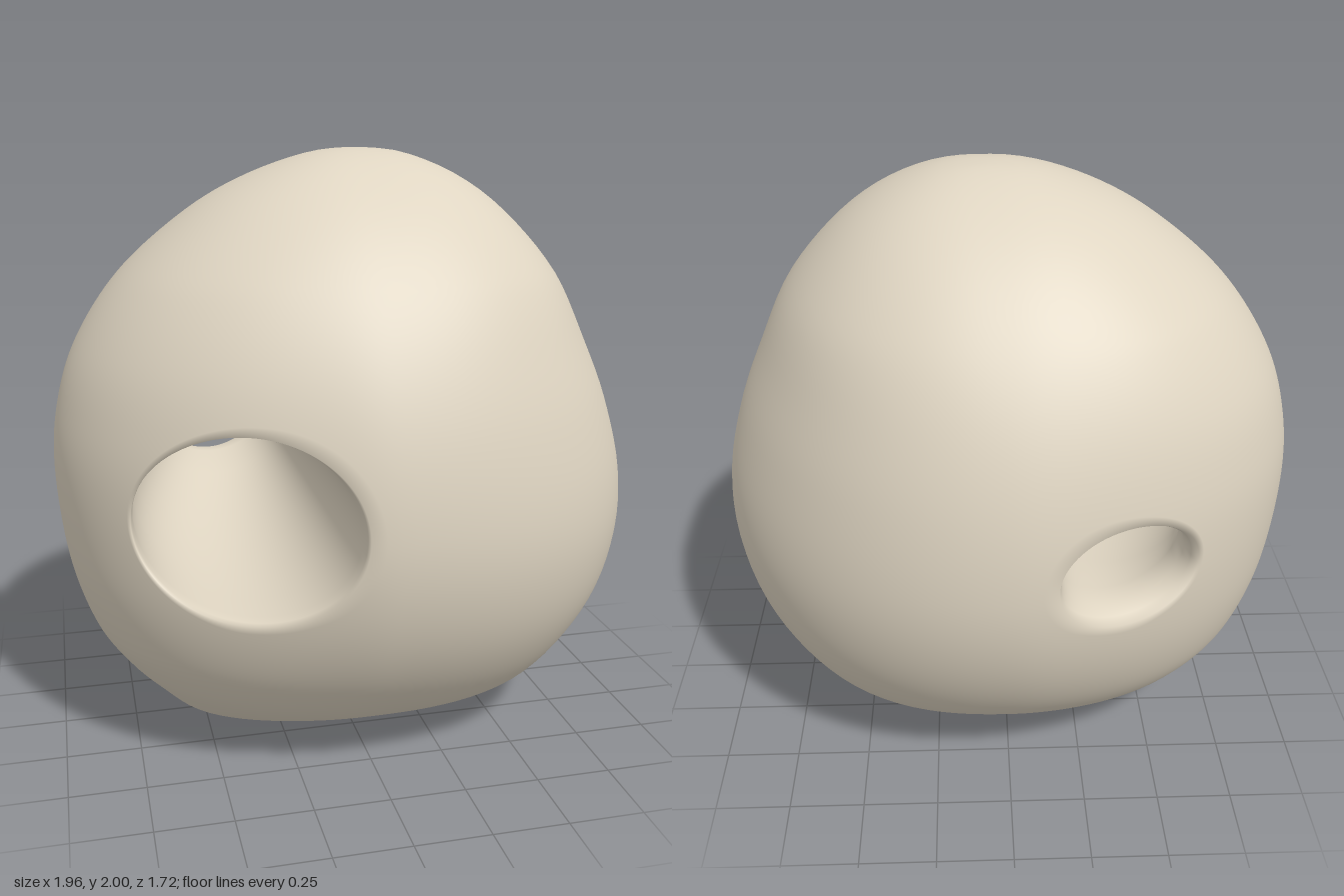
import * as THREE from 'three';

// Front outline, from the top centre down each side to the flat base
const LEFT = [[0.06, 2], [-0.1, 1.982], [-0.32, 1.905], [-0.52, 1.79], [-0.74, 1.6], [-0.89, 1.38], [-0.96, 1.17],
  [-0.98, 0.95], [-0.95, 0.65], [-0.88, 0.42], [-0.79, 0.28], [-0.7, 0.18], [-0.6, 0.07], [-0.53, 0.025], [-0.46, 0]];
const RIGHT = [[0.06, 2], [0.22, 1.983], [0.4, 1.91], [0.56, 1.79], [0.72, 1.6], [0.825, 1.38], [0.91, 1.17],
  [0.97, 0.93], [0.97, 0.7], [0.9, 0.46], [0.73, 0.2], [0.53, 0.045], [0.4, 0]];

function sideLine(points) {
  return new THREE.SplineCurve(points.map(([x, y]) => new THREE.Vector2(x, y))).getPoints(300);
}

// x of an outline side at a given height
function xAt(line, y) {
  for (let i = 1; i < line.length; i++) {
    const a = line[i - 1], b = line[i];
    if (y <= a.y && y >= b.y && a.y > b.y) return THREE.MathUtils.lerp(a.x, b.x, (a.y - y) / (a.y - b.y));
  }
  return y > 1 ? line[0].x : line[line.length - 1].x;
}

export function createModel() {
  const stone = new THREE.MeshStandardMaterial({ color: 0xdfd5c2 });
  stone.name = 'warm stone';
  const left = sideLine(LEFT), right = sideLine(RIGHT);

  // Position across a row: -1 at the left outline, 1 at the right
  const across = (x, y) => {
    const l = xAt(left, y), r = xAt(right, y);
    return (2 * x - l - r) / Math.max(r - l, 1e-5);
  };
  const inside = (x, y) => y > 0 && y < 2 && Math.abs(across(x, y)) < 1;

  // Egg-shaped half thickness, fuller towards top and base, thinner on the -x side
  function depth(x, y, side) {
    const profile = y < 0.9
      ? Math.sqrt(Math.max(0, 1 - ((0.9 - y) / 0.9) ** 2))
      : Math.max(0, 1 - ((y - 0.9) / 1.1) ** 2) ** 0.54;
    const n = 2.05 + 0.5 * Math.min(1, Math.abs(y - 0.9) / 0.7) ** 2;
    const row = Math.sqrt(Math.max(0, 1 - Math.abs(across(x, y)) ** n));
    const thin = x < 0 ? 1 - (side > 0 ? 0.08 : 0.05) * x * x / (x * x + 0.08) : 1;
    return side * 0.86 * thin * profile * row;
  }
  const skew = (x) => 0.08 * Math.max(0, x) ** 2;

  // Ellipses of the tunnel: centre and radii
  const frontRim = [-0.43, 0.915, 0.332, 0.297];
  const backRim = [-0.36, 0.935, 0.222, 0.176];
  const throat = [-0.345, 0.94, 0.197, 0.14];
  const onRim = ([cx, cy, rx, ry], a, k = 1) => [cx + rx * k * Math.cos(a), cy + ry * k * Math.sin(a)];
  const mix = (p, q, t) => [p[0] + (q[0] - p[0]) * t, p[1] + (q[1] - p[1]) * t];

  // Outline point straight out from the hole
  function outlineAt(a) {
    let lo = 0, hi = 3;
    for (let i = 0; i < 40; i++) {
      const m = (lo + hi) / 2;
      if (inside(-0.4 + m * Math.cos(a), 0.93 + m * Math.sin(a))) lo = m; else hi = m;
    }
    return [-0.4 + lo * Math.cos(a), 0.93 + lo * Math.sin(a)];
  }

  // Each loop runs front rim, outline, back rim and back through the tunnel
  const N = 160, M = 36, positions = [], index = [];
  let ring = 0;
  for (let i = 0; i < N; i++) {
    const a = i / N * Math.PI * 2;
    const edge = outlineAt(a), f = onRim(frontRim, a), b = onRim(backRim, a), loop = [];
    const surface = ([x, y], side) => loop.push([x, y, depth(x, y, side) + skew(x)]);
    for (let j = 0; j <= M; j++) surface(mix(f, edge, Math.sin(j / M * Math.PI / 2)), 1);
    for (let j = M - 1; j >= 0; j--) surface(mix(b, edge, Math.sin(j / M * Math.PI / 2)), -1);
    // rounded back lip, throat, tapering wall, rounded front lip
    const zf = depth(...f, 1), zb = depth(...b, -1), t = onRim(throat, a), zt = zb + 0.15;
    loop.push([...mix(b, t, 0.5), zb + 0.025], [...mix(b, t, 0.85), zb + 0.07], [...t, zt]);
    const wall = onRim(frontRim, a, 0.97);
    for (const s of [0.15, 0.3, 0.45, 0.6, 0.75, 0.9, 1]) {
      loop.push([...mix(t, wall, Math.sin(s * Math.PI / 2)), THREE.MathUtils.lerp(zt, zf - 0.06, s)]);
    }
    loop.push([...onRim(frontRim, a, 0.985), zf - 0.02]);
    ring = loop.length;
    positions.push(...loop.flat());
  }
  for (let i = 0; i < N; i++) {
    for (let j = 0; j < ring; j++) {
      const i2 = (i + 1) % N, j2 = (j + 1) % ring;
      const p = i * ring + j, q = i * ring + j2, r = i2 * ring + j, s = i2 * ring + j2;
      index.push(p, q, r, q, s, r);
    }
  }
  const geometry = new THREE.BufferGeometry();
  geometry.setAttribute('position', new THREE.Float32BufferAttribute(positions, 3));
  geometry.setIndex(index);
  geometry.computeVertexNormals();

  const pebble = new THREE.Mesh(geometry, stone);
  pebble.name = 'piercedPebble';
  const group = new THREE.Group();
  group.name = 'pebble';
  group.add(pebble);
  return group;
}
